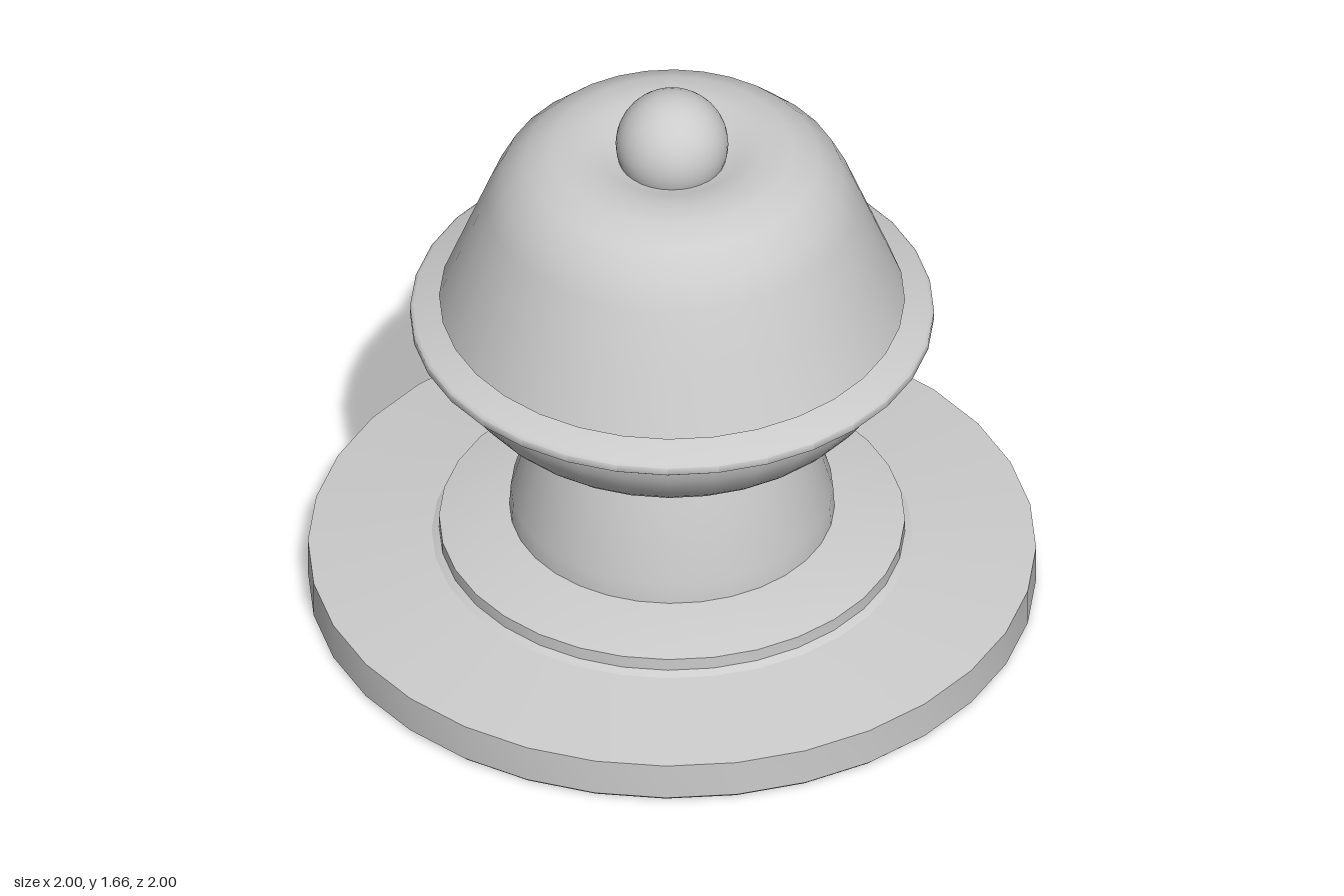
import * as THREE from 'three';
import { toCreasedNormals } from 'three/addons/utils/BufferGeometryUtils.js';

const SIDES = 32;
const material = new THREE.MeshStandardMaterial({ color: 0xcccccc });
const shellMaterial = new THREE.MeshStandardMaterial({ color: 0xcccccc, side: THREE.DoubleSide });

const vectors = (points) => points.map(([r, y]) => new THREE.Vector2(r, y));

// Turned part from a profile of [radius, height] points, listed bottom to top
function turned(name, profile, mat = material, crease = 0.6) {
  const geometry = toCreasedNormals(new THREE.LatheGeometry(profile, SIDES), crease);
  const mesh = new THREE.Mesh(geometry, mat);
  mesh.name = name;
  return mesh;
}

export function createModel() {
  const group = new THREE.Group();
  group.name = 'callBell';

  // Wide stepped foot
  group.add(turned('base', vectors([
    [0, 0], [0.99, 0], [1, 0.01], [1, 0.12], [0.66, 0.163], [0.64, 0.175],
    [0.64, 0.212], [0.45, 0.258], [0, 0.258],
  ]), material, 0.4));

  // Tapered neck
  group.add(turned('neck', vectors([[0.447, 0.255], [0.443, 0.32], [0.365, 0.6]])));

  // Rounded bowl under the rim
  const bowlCurve = new THREE.SplineCurve(vectors([
    [0.365, 0.595], [0.47, 0.645], [0.56, 0.715], [0.625, 0.8], [0.65, 0.865], [0.655, 0.91],
  ]));
  group.add(turned('bowl', [new THREE.Vector2(0, 0.595), ...bowlCurve.getPoints(15)]));

  // Thin rim plate with a rounded edge
  group.add(turned('rim', vectors([
    [0, 0.905], [0.71, 0.905], [0.72, 0.913], [0.72, 0.935], [0.71, 0.943], [0, 0.943],
  ]), material, 0.9));

  // Pin holding the dome clear of the rim
  const pin = new THREE.Mesh(new THREE.CylinderGeometry(0.1, 0.1, 0.52, SIDES), material);
  pin.name = 'pin';
  pin.position.y = 1.2;
  group.add(pin);

  // Open dome shell, dipping at the top around the knob
  group.add(turned('dome', vectors([
    [0.64, 0.975], [0.575, 1.143], [0.51, 1.31], [0.47, 1.39], [0.405, 1.453],
    [0.33, 1.487], [0.25, 1.49], [0.19, 1.478], [0.145, 1.46], [0, 1.45],
  ]), shellMaterial, 0.9));

  // Push knob
  const knob = new THREE.Mesh(new THREE.SphereGeometry(0.155, SIDES, 20), material);
  knob.name = 'knob';
  knob.position.y = 1.508;
  group.add(knob);

  return group;
}
